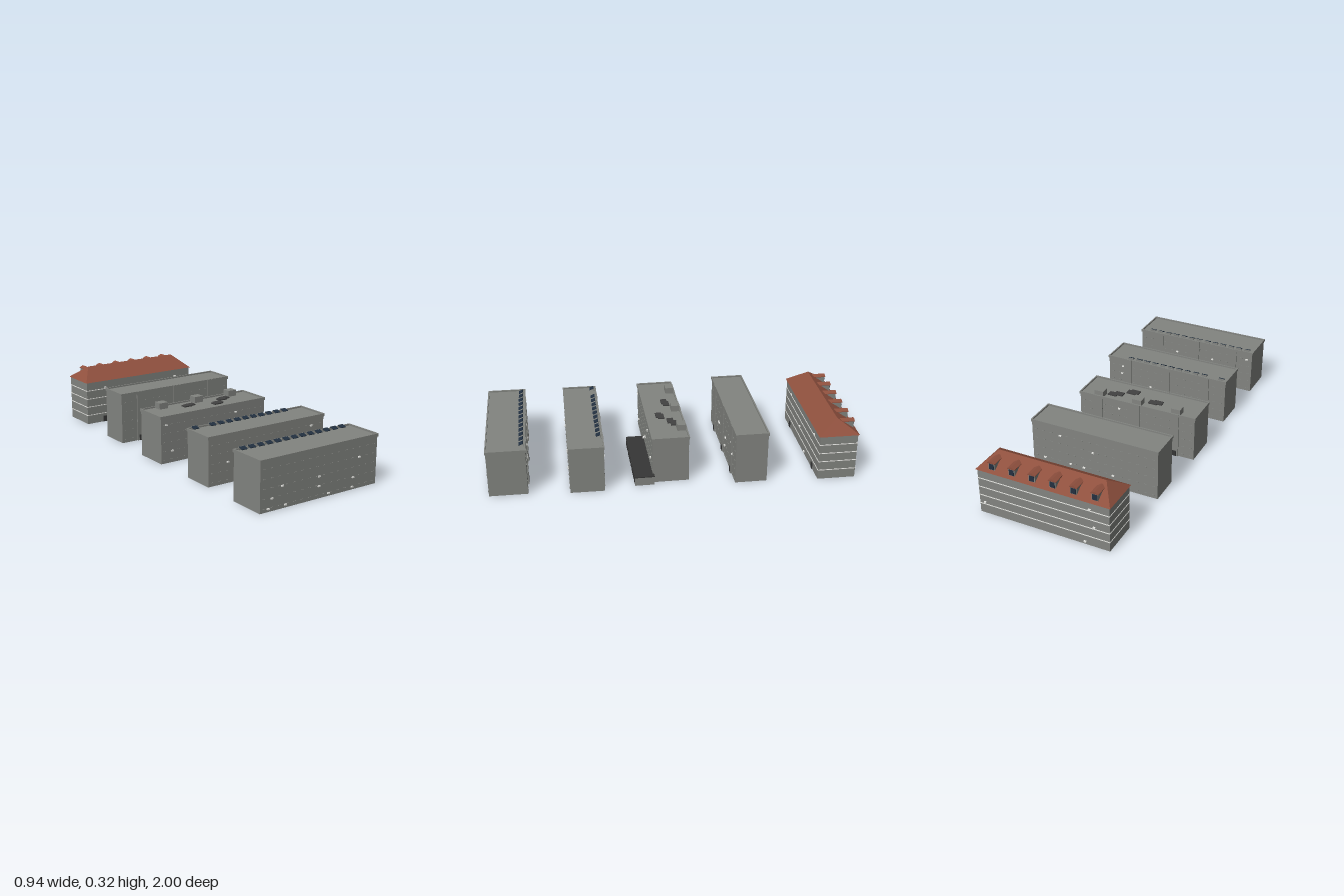
import * as THREE from 'three';

const mat = (name, color, side = THREE.FrontSide) => {
  const m = new THREE.MeshStandardMaterial({ color, side });
  m.name = name;
  return m;
};

export function createModel() {
  const M = {
    wall: mat('concrete grey', 0x828480, THREE.DoubleSide),
    roof: mat('clay red', 0x8f503e),
    white: mat('off white', 0xeaeae6),
    dark: mat('charcoal', 0x363636),
    panel: mat('panel grey', 0x424242),
    blue: mat('solar blue', 0x223040),
  };
  const model = new THREE.Group();
  model.name = 'apartmentBlocks';

  const add = (parent, name, geo, m, x, y, z) => {
    const mesh = new THREE.Mesh(geo, m);
    mesh.name = name;
    mesh.position.set(x, y, z);
    parent.add(mesh);
    return mesh;
  };
  // Box whose y is its underside
  const box = (parent, name, m, w, h, d, x, y, z) =>
    add(parent, name, new THREE.BoxGeometry(w, h, d), m, x, y + h / 2, z);

  // Hollow walls standing on the ground, without a floor and optionally without a deck
  const shell = (parent, name, w, h, d, deck) => {
    const geo = new THREE.BoxGeometry(w, h, d);
    geo.setIndex(Array.from(geo.index.array).filter((_, i) => i < (deck ? 18 : 12) || i >= 24));
    geo.clearGroups();
    add(parent, name, geo, M.wall, 0, h / 2, 0);
  };

  let seed = 7;
  const rand = () => (seed = (seed * 16807) % 2147483647) / 2147483647;

  const group = (name, x, z, angle) => {
    const g = new THREE.Group();
    g.name = name;
    g.position.set(x, 0, z);
    g.rotation.y = THREE.MathUtils.degToRad(angle);
    model.add(g);
    return g;
  };

  // Rows of small window sills on one long face
  const sills = (g, len, z, step) => {
    const n = 16;
    for (let f = 0; f < 5; f++)
      for (let i = 0; i < n; i++)
        box(g, 'windowSill', M.wall, 0.014, 0.002, 0.003,
          (i + 0.5 - n / 2) * len / n, 0.018 + f * step, z);
  };

  // Small white cooling units hung on a long face
  const coolers = (g, spots, z) => spots.forEach(([x, y]) =>
    box(g, 'coolingUnit', M.white, 0.013, 0.007, 0.008, x, y - 0.003, z));
  const scattered = (len, count, step) => Array.from({ length: count }, () =>
    [(rand() - 0.5) * len * 0.9, 0.016 + Math.floor(rand() * 5) * step]);

  // Flat-roofed block with parapet, stair piers and doors
  const block = (name, x, z, angle, len, wid, h, pierSide, frontSpots) => {
    const g = group(name, x, z, angle);
    const w = len - 0.008, d = wid - 0.008, rim = 0.007, step = (h - 0.02) / 5;
    shell(g, 'walls', w, h - 0.008, d, true);
    for (const s of [-1, 1]) {
      box(g, 'longParapet', M.wall, len, 0.015, rim, 0, h - 0.015, s * (wid - rim) / 2);
      box(g, 'endParapet', M.wall, rim, 0.015, wid - 2 * rim, s * (len - rim) / 2, h - 0.015, 0);
      sills(g, w, s * (d / 2 + 0.0015), step);
    }
    for (const t of [-0.33, 0, 0.33]) {
      box(g, 'stairPier', M.wall, 0.045, h - 0.001, 0.006, t * len, 0, pierSide * (d / 2 + 0.003));
      box(g, 'door', M.dark, 0.024, 0.032, 0.003, t * len, 0, pierSide * (d / 2 + 0.006));
    }
    coolers(g, frontSpots, d / 2 + 0.003);
    coolers(g, scattered(len, 6, step), -d / 2 - 0.003);
    return g;
  };

  // Row of forward-tilted solar panels on grey backs along the back edge
  const solarRow = (g, xs, z, h) => xs.forEach((x) => {
    const p = box(g, 'solarPanel', M.blue, 0.032, 0.003, 0.024, x, h + 0.002, z);
    p.rotation.x = 0.38;
    box(g, 'panelBack', M.wall, 0.032, 0.017, 0.003, x, h - 0.008, z - 0.0125);
  });

  // First block
  const a = block('frontBlock', 0.098, 0.848, 8.1, 0.72, 0.206, 0.255, -1,
    [[-0.31, 0.015], [-0.21, 0.015], [0.05, 0.015], [0.2, 0.015], [-0.29, 0.062], [-0.01, 0.062],
      [0.205, 0.062], [-0.23, 0.11], [-0.01, 0.11], [0.24, 0.158]]);
  solarRow(a, Array.from({ length: 13 }, (_, i) => -0.318 + i * 0.0505), -0.078, 0.255);

  // Second block
  const b = block('secondBlock', 0.056, 0.447, 7.9, 0.731, 0.185, 0.255, -1, scattered(0.73, 6, 0.047));
  solarRow(b, [-0.33, ...Array.from({ length: 10 }, (_, i) => -0.226 + i * 0.0505)], -0.068, 0.255);

  // Middle block with roof huts, flat panels and a low annex
  const c = block('middleBlock', -0.032, 0.024, 8.7, 0.68, 0.198, 0.255, -1,
    [[-0.305, 0.206], ...scattered(0.68, 5, 0.047)]);
  for (const t of [-0.225, 0, 0.225])
    box(c, 'stairHut', M.wall, 0.052, 0.034, 0.046, t, 0.246, -0.07);
  for (const [x, z] of [[-0.095, -0.022], [-0.07, -0.03], [0.065, 0.028], [0.08, 0.018],
    [0.135, -0.025], [0.165, -0.04]])
    box(c, 'roofPanel', M.panel, 0.05, 0.006, 0.034, x, 0.247, z);

  const annex = group('annex', 0.126, 0.141, 8.7);
  shell(annex, 'annexWalls', 0.443, 0.046, 0.1, false);
  box(annex, 'annexRoof', M.dark, 0.449, 0.005, 0.104, 0, 0.046, 0);
  for (let i = 0; i < 10; i++)
    box(annex, 'shopWindow', M.dark, 0.024, 0.034, 0.002, -0.194 + i * 0.043, 0.005, 0.051);

  // Tall block with piers on the front
  block('tallBlock', -0.052, -0.392, 8.4, 0.721, 0.175, 0.28, 1, scattered(0.72, 6, 0.052));

  // Hip-roofed block
  const e = group('hipRoofBlock', -0.096, -0.842, 8.2);
  const L = 0.726, W = 0.213;
  shell(e, 'walls', L - 0.014, 0.25, W - 0.014, false);
  for (const y of [0.05, 0.1, 0.148, 0.197])
    for (const s of [-1, 1]) {
      box(e, 'longStringCourse', M.white, L - 0.01, 0.004, 0.002, 0, y, s * (W / 2 - 0.006));
      box(e, 'endStringCourse', M.white, 0.002, 0.004, W - 0.014, s * (L / 2 - 0.006), y, 0);
    }
  for (const s of [-1, 1]) {
    coolers(e, scattered(L, 4, 0.048), s * (W / 2 - 0.004));
    box(e, 'door', M.dark, 0.024, 0.034, 0.003, s * 0.24, 0, W / 2 - 0.0055);
  }

  // Hip roof: a box with its top pinched to a ridge
  const roofGeo = new THREE.BoxGeometry(L, 0.072, W).toNonIndexed();
  const p = roofGeo.attributes.position;
  for (let i = 0; i < p.count; i++)
    if (p.getY(i) > 0) p.setXYZ(i, Math.sign(p.getX(i)) * 0.29, 0.036, 0);
  roofGeo.computeVertexNormals();
  add(e, 'hipRoof', roofGeo, M.roof, 0, 0.284, 0);

  // Dormers on the back slope: grey body, blue window, low gable roof
  const gable = new THREE.Shape([[-0.021, 0], [0.021, 0], [0.021, 0.003], [0, 0.013], [-0.021, 0.003]]
    .map(([x, y]) => new THREE.Vector2(x, y)));
  const gableGeo = new THREE.ExtrudeGeometry(gable, { depth: 0.074, bevelEnabled: false });
  for (let i = 0; i < 6; i++) {
    const x = -0.277 + i * 0.111;
    box(e, 'dormerBody', M.wall, 0.034, 0.042, 0.06, x, 0.255, -0.06);
    add(e, 'dormerRoof', gableGeo, M.roof, x, 0.296, -0.094);
    box(e, 'dormerWindow', M.blue, 0.026, 0.03, 0.003, x, 0.262, -0.0905);
  }
  return model;
}
